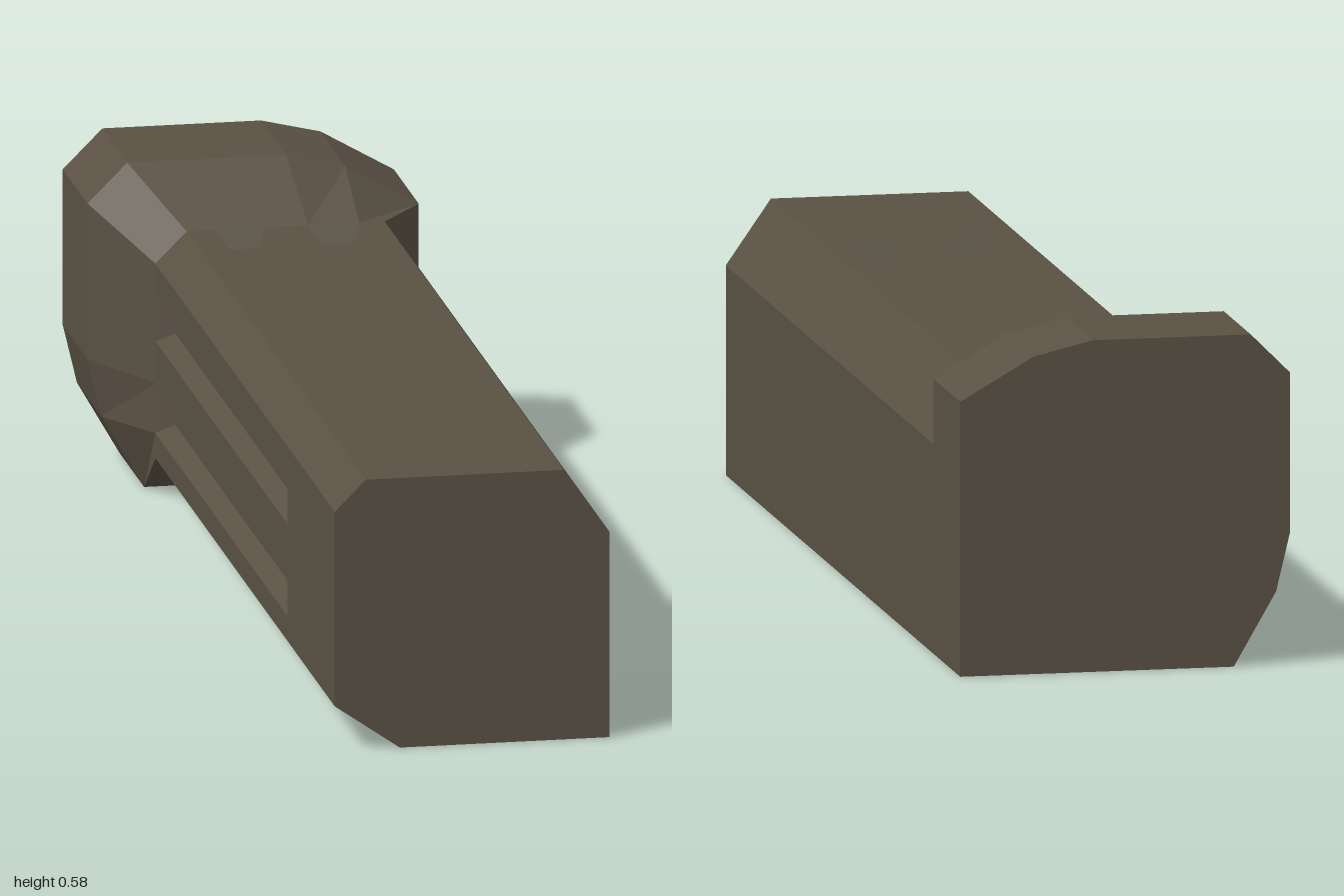
import * as THREE from 'three';

// Both sections are symmetric about a diagonal through the (0.29, 0) corner.
const mirrorHalf = (half) => [
  [0.29, 0],
  ...half,
  ...half.map(([x, y]) => [0.29 - y, 0.29 - x]).reverse(),
];

// Shaft section; cut = 0 is plain, cut = 1 has full-depth tapered grooves
function shaftSection(z, cut) {
  const top = 0.485, inset = 0.02 * cut, floor = top - 0.03 * cut;
  const groove = (x0, x1) => [[x1, top], [x1 - inset, floor], [x0 + inset, floor], [x0, top]];
  const half = [[0.29, 0.37], [0.21, top], ...groove(0.075, 0.165), ...groove(-0.09, 0), [-0.14, top]];
  return mirrorHalf(half).map(([x, y]) => new THREE.Vector3(x, y, z));
}

// Head section, with one point for each point of the shaft section
function headSection(z) {
  const twice = (x, y) => [[x, y], [x, y]];
  const half = [
    [0.29, 0.37], [0.29, 0.485],
    ...twice(0.16, 0.56), ...twice(0.055, 0.585),
    ...twice(0, 0.585), ...twice(-0.09, 0.585), [-0.225, 0.585],
  ];
  return mirrorHalf(half).map(([x, y]) => new THREE.Vector3(x, y, z));
}

// Skins sections ordered from front to back, with optional flat end caps
function loft(sections, capFront, capBack) {
  const positions = [];
  const tri = (a, b, c) => {
    const area = b.clone().sub(a).cross(c.clone().sub(a)).length();
    if (area > 1e-8) for (const p of [a, b, c]) positions.push(p.x, p.y, p.z);
  };
  const n = sections[0].length;
  for (let i = 0; i < sections.length - 1; i++) {
    for (let j = 0; j < n; j++) {
      const k = (j + 1) % n;
      const a = sections[i][j], b = sections[i][k];
      const d = sections[i + 1][j], c = sections[i + 1][k];
      // diagonals are mirrored too, so the corner gussets match
      if (j < n / 2) { tri(a, d, b); tri(b, d, c); }
      else { tri(a, d, c); tri(a, c, b); }
    }
  }
  const front = sections[0], back = sections[sections.length - 1];
  for (let j = 1; j < n - 1; j++) {
    if (capFront) tri(front[0], front[j], front[j + 1]);
    if (capBack) tri(back[0], back[j + 1], back[j]);
  }
  const geometry = new THREE.BufferGeometry();
  geometry.setAttribute('position', new THREE.Float32BufferAttribute(positions, 3));
  geometry.computeVertexNormals();
  return geometry;
}

export function createModel() {
  const group = new THREE.Group();
  group.name = 'groovedBeam';
  const material = new THREE.MeshStandardMaterial({ color: 0x5a5144, flatShading: true });
  const add = (name, geometry) => {
    const mesh = new THREE.Mesh(geometry, material);
    mesh.name = name;
    group.add(mesh);
  };

  // Long chamfered shaft with two grooves on the top and two on the -x side
  add('shaft', loft([
    shaftSection(1, 0),
    shaftSection(0.56, 0),
    shaftSection(0.54, 1),
    shaftSection(-0.64, 1),
    shaftSection(-0.665, 0),
  ], true, false));

  // Flared collar widening into the head block
  add('head', loft([
    shaftSection(-0.665, 0),
    headSection(-0.77),
    headSection(-1),
  ], false, true));

  return group;
}
